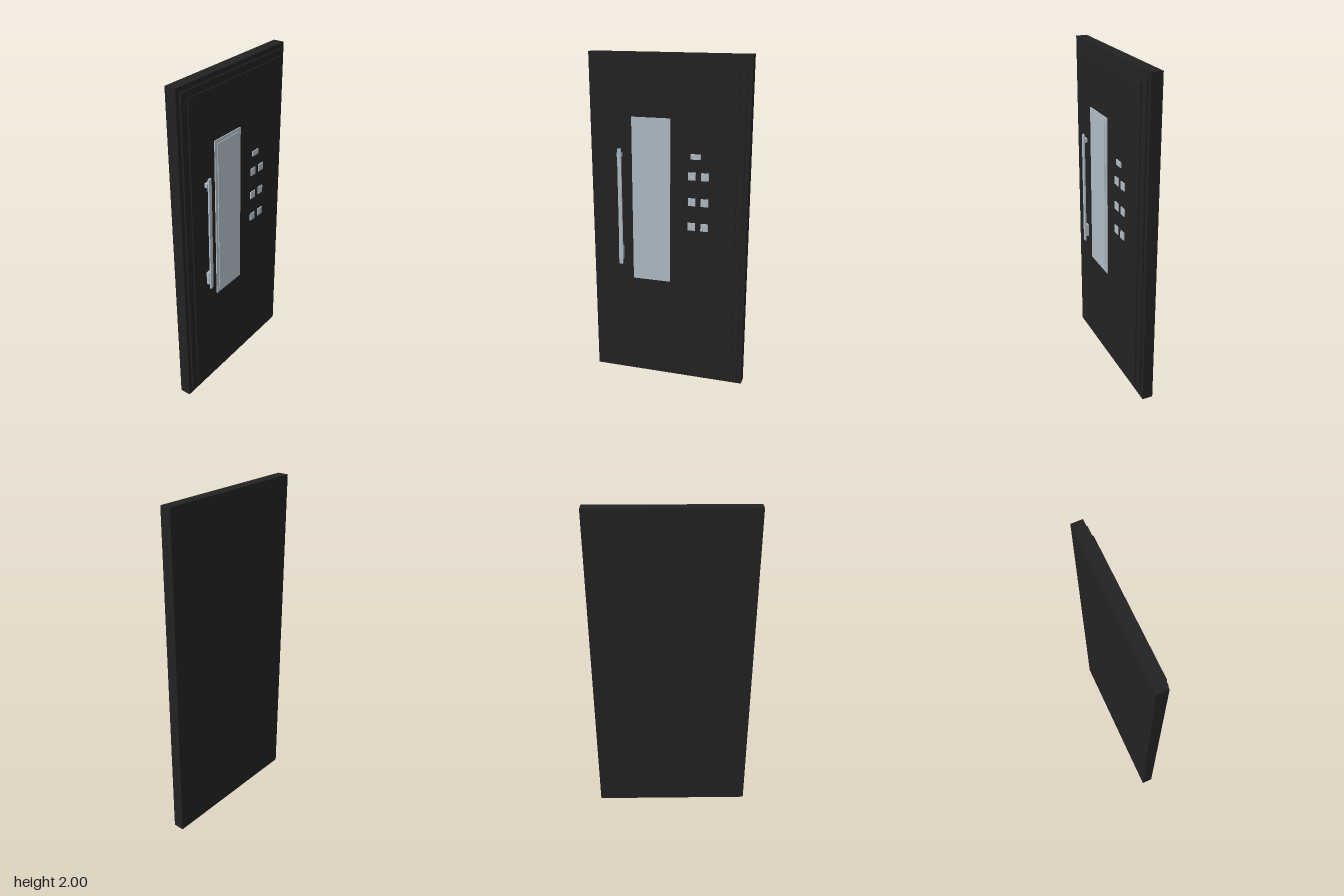
import * as THREE from 'three';

export function createModel() {
  const door = new THREE.Group();
  door.name = 'door';

  const black = new THREE.MeshStandardMaterial({ color: 0x222222 });
  black.name = 'black paint';
  const steel = new THREE.MeshStandardMaterial({ color: 0xb0bcc5 });
  steel.name = 'pale steel';

  // Box given by its limits on each axis
  function block(name, material, [x0, x1], [y0, y1], [z0, z1]) {
    const mesh = new THREE.Mesh(new THREE.BoxGeometry(x1 - x0, y1 - y0, z1 - z0), material);
    mesh.position.set((x0 + x1) / 2, (y0 + y1) / 2, (z0 + z1) / 2);
    mesh.name = name;
    door.add(mesh);
  }

  // Stepped door leaf, with a shadow gap behind the front panel
  block('slab', black, [-0.475, 0.475], [0, 2], [-0.058, 0.008]);
  block('raisedStep', black, [-0.448, 0.448], [0.028, 1.972], [0.008, 0.018]);
  block('frontPanel', black, [-0.41, 0.41], [0.065, 1.935], [0.023, 0.031]);

  // Tall window: trim and raised pane
  block('windowTrim', steel, [-0.212, 0.02], [0.648, 1.643], [0.031, 0.037]);
  block('windowPane', steel, [-0.192, 0], [0.668, 1.623], [0.037, 0.041]);

  // Pull handle on two mounts
  block('handleBar', steel, [-0.296, -0.273], [0.74, 1.456], [0.048, 0.058]);
  for (const [y0, y1] of [[0.77, 0.85], [1.405, 1.43]]) {
    block('handleMount', steel, [-0.302, -0.273], [y0, y1], [0.031, 0.05]);
  }

  // Decorative plates: one wide plate above three pairs of squares
  block('widePlate', steel, [0.142, 0.2], [1.416, 1.447], [0.031, 0.037]);
  for (const y of [1.013, 1.163, 1.317]) {
    for (const x of [0.15, 0.227]) {
      block('squarePlate', steel, [x - 0.022, x + 0.022], [y - 0.023, y + 0.023], [0.031, 0.037]);
    }
  }

  return door;
}
